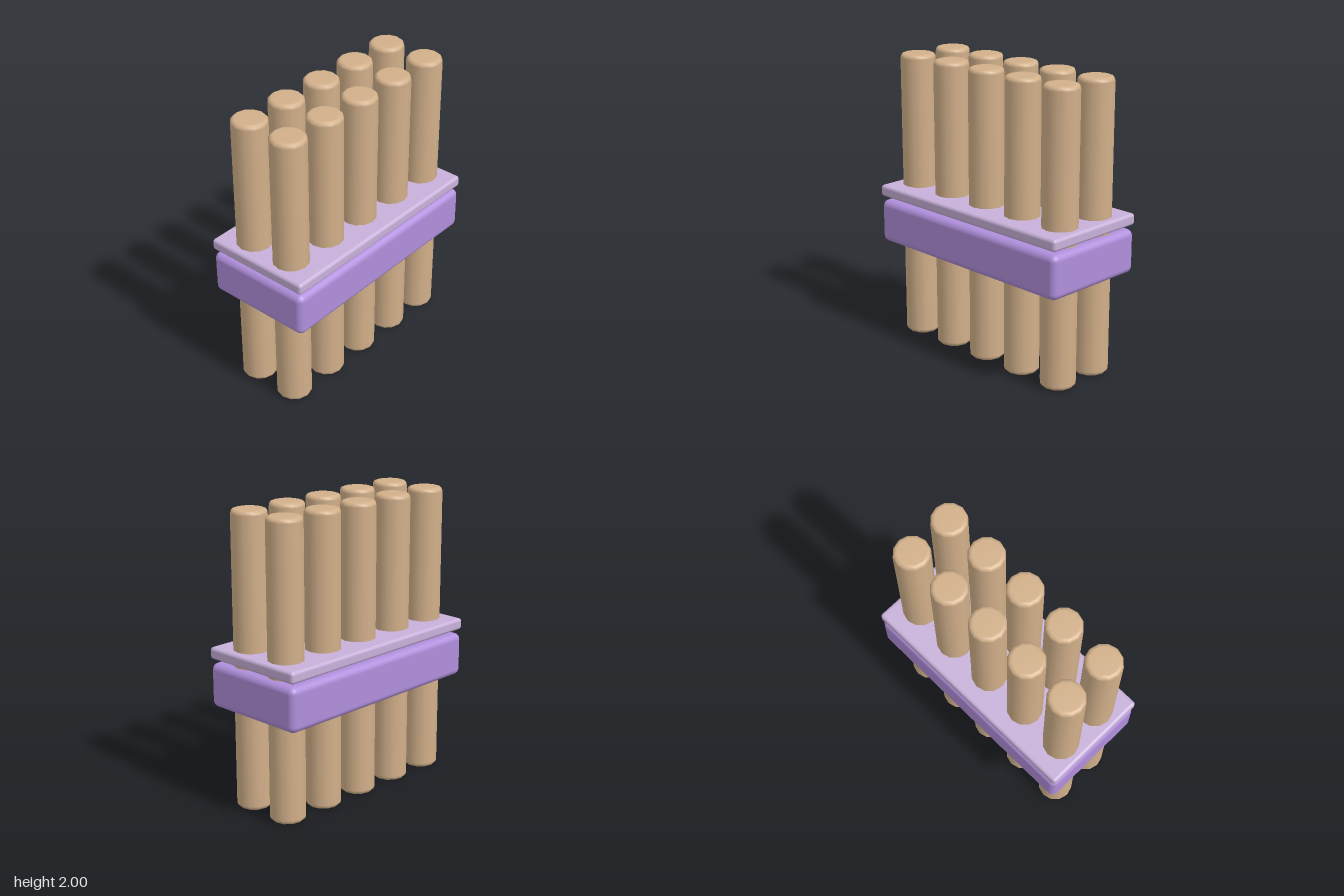
import * as THREE from 'three';
import { RoundedBoxGeometry } from 'three/addons/geometries/RoundedBoxGeometry.js';

const flat = (name, color) => {
  const m = new THREE.MeshStandardMaterial({ color });
  m.name = name;
  return m;
};

export function createModel() {
  const wood = flat('tan wood', 0xd2b08a);
  const purple = flat('purple', 0xb08fdc);
  const lilac = flat('pale lilac', 0xc8b1da);

  const group = new THREE.Group();
  group.name = 'rodRack';

  const add = (name, geometry, material, x, y, z) => {
    const mesh = new THREE.Mesh(geometry, material);
    mesh.name = name;
    mesh.position.set(x, y, z);
    group.add(mesh);
  };

  // Rod profile with softened rims, running from the bottom up
  const profile = [
    [0, 0], [0.09, 0], [0.105, 0.004], [0.116, 0.015], [0.12, 0.03],
    [0.12, 1.97], [0.116, 1.985], [0.105, 1.996], [0.09, 2], [0, 2],
  ].map(([r, y]) => new THREE.Vector2(r, y));
  const rod = new THREE.LatheGeometry(profile, 12);

  // Two rows of five rods
  for (const z of [0.158, -0.158]) {
    for (let i = -2; i <= 2; i++) {
      add(z > 0 ? 'frontRod' : 'backRod', rod, wood, i * 0.328, 0, z);
    }
  }

  // Thick rounded block and thin plate around the rods
  add('holderBlock', new RoundedBoxGeometry(1.64, 0.3, 0.764, 4, 0.045), purple, 0, 0.828, 0);
  add('topPlate', new RoundedBoxGeometry(1.64, 0.08, 0.764, 3, 0.022), lilac, 0, 1.045, 0);

  return group;
}
